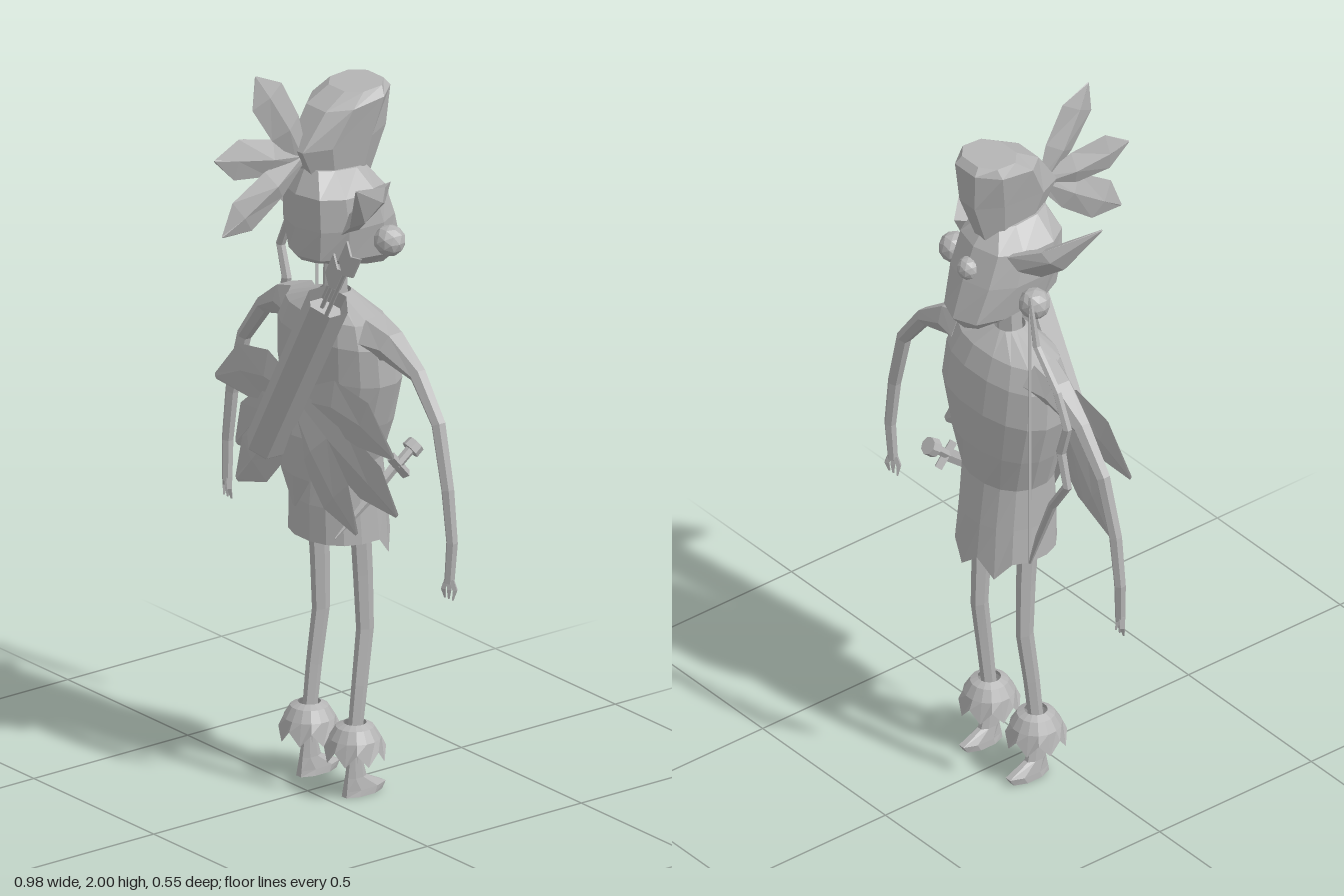
import * as THREE from 'three';

const clay = new THREE.MeshStandardMaterial({ color: 0xb4b4b4, flatShading: true, side: THREE.DoubleSide });
const V = (x, y, z) => new THREE.Vector3(x, y, z);

// Faceted skin through closed rings of points, optionally capped
function loft(rings, caps = true) {
  const n = rings[0].length, pos = [], idx = [];
  rings.flat().forEach(p => pos.push(p.x, p.y, p.z));
  for (let i = 0; i < rings.length - 1; i++) {
    for (let j = 0; j < n; j++) {
      const k = (j + 1) % n, a = i * n, b = a + n;
      idx.push(a + j, a + k, b + k, a + j, b + k, b + j);
    }
  }
  if (caps) {
    const top = (rings.length - 1) * n;
    for (let j = 1; j < n - 1; j++) idx.push(0, j + 1, j, top, top + j, top + j + 1);
  }
  const g = new THREE.BufferGeometry();
  g.setAttribute('position', new THREE.Float32BufferAttribute(pos, 3));
  g.setIndex(idx);
  const flat = g.toNonIndexed();
  flat.computeVertexNormals();
  return flat;
}

// Elliptical sections stacked upwards: [yBack, yFront, halfWidth, zBack, zFront]
function stack(rows, n, power = 1) {
  const soft = c => Math.sign(c) * Math.abs(c) ** power;
  return rows.map(([yb, yf, w, zb, zf]) => Array.from({ length: n }, (_, j) => {
    const a = ((j + 0.5) / n) * Math.PI * 2, s = -soft(Math.sin(a));
    const t = (1 - s) / 2;
    return V(w * soft(Math.cos(a)), yb + (yf - yb) * t, zb + (zf - zb) * t);
  }));
}

// Tapering limb or leaf: points along a path, [width, thickness] radii, width direction
function sweep(points, radii, side, n = 6) {
  const pts = points.map(p => V(...p));
  return loft(pts.map((p, i) => {
    const t = pts[Math.min(i + 1, pts.length - 1)].clone().sub(pts[Math.max(i - 1, 0)]).normalize();
    const u = V(...side);
    u.addScaledVector(t, -u.dot(t)).normalize();
    const v = t.clone().cross(u);
    const [w, h] = [].concat(radii[i], radii[i]);
    return Array.from({ length: n }, (_, j) => {
      const a = (j / n) * Math.PI * 2;
      return p.clone().addScaledVector(u, w * Math.cos(a)).addScaledVector(v, h * Math.sin(a));
    });
  }));
}

export function createModel() {
  const model = new THREE.Group();
  const add = (name, geometry, parent = model) => {
    const m = new THREE.Mesh(geometry, clay);
    m.name = name;
    parent.add(m);
    return m;
  };

  // Tunic with a ragged hem on the face side
  const body = stack([
    [0.70, 0.70, 0.135, 0.02, -0.225], [0.80, 0.80, 0.13, 0.02, -0.215],
    [0.92, 0.92, 0.13, 0.01, -0.2], [1.03, 1.03, 0.17, 0.01, -0.215],
    [1.15, 1.15, 0.205, 0.01, -0.22], [1.25, 1.25, 0.2, 0.01, -0.205],
    [1.31, 1.31, 0.17, -0.005, -0.18], [1.36, 1.36, 0.04, -0.05, -0.13],
  ], 16, 0.9);
  body[0].forEach((p, j) => { if (p.z < -0.14) p.y = j % 2 ? 0.65 : 0.7; });
  add('tunic', loft(body, false));
  add('neck', new THREE.CylinderGeometry(0.032, 0.036, 0.14, 6)).position.set(0, 1.385, -0.09);

  // Head, nose and crest of hair
  add('head', loft(stack([
    [1.465, 1.41, 0.05, 0.02, -0.24], [1.48, 1.455, 0.1, 0.035, -0.278],
    [1.56, 1.56, 0.12, 0.04, -0.245], [1.65, 1.65, 0.118, 0.04, -0.21],
    [1.715, 1.70, 0.06, 0.01, -0.17],
  ], 10, 0.8)));
  add('nose', new THREE.IcosahedronGeometry(0.032, 1)).position.set(0, 1.59, -0.225);
  add('hair', loft(stack([
    [1.66, 1.66, 0.045, -0.01, -0.19], [1.77, 1.79, 0.07, 0.05, -0.24],
    [1.87, 1.90, 0.092, -0.02, -0.245], [1.91, 1.92, 0.075, -0.09, -0.225],
  ], 8, 0.85)));

  // Three feathers fanning from the back of the hair
  [[-0.005, 2.0, 0.165], [-0.035, 1.785, 0.275], [-0.015, 1.58, 0.265]].forEach(([x, y, z]) => {
    const at = f => [x * f, 1.75 + (y - 1.75) * f, 0.02 + (z - 0.02) * f];
    add('headFeather', sweep([at(0), at(0.35), at(0.75), at(1)],
      [[0.02, 0.005], [0.05, 0.02], [0.055, 0.014], [0.003, 0.002]], [0, z - 0.02, 1.75 - y], 4));
  });

  for (const s of [-1, 1]) {
    const X = pts => pts.map(([x, y, z]) => [s * x, y, z]);

    // Pointed ear and round earring
    add('ear', sweep(X([[0.095, 1.6, -0.11], [0.16, 1.635, -0.07], [0.235, 1.725, 0.025]]),
      [[0.1, 0.03], [0.07, 0.025], [0.002, 0.002]], [0, 0.4, -0.6], 6));
    add('earring', new THREE.IcosahedronGeometry(0.042, 1)).position.set(s * 0.163, 1.53, -0.14);

    // Thin drooping arm with three fingers
    add('arm', sweep(X([[0.15, 1.27, -0.1], [0.22, 1.265, -0.105], [0.32, 1.215, -0.11], [0.405, 1.105, -0.11],
      [0.45, 0.94, -0.105], [0.468, 0.8, -0.105], [0.463, 0.69, -0.1]]),
      [0.065, 0.045, 0.024, 0.02, 0.018, 0.016, 0.014], [0, 0, 1]));
    [-1, 0, 1].forEach(f => add('finger', sweep(
      X([[0.463 + f * 0.008, 0.7, -0.1], [0.463 + f * 0.017, 0.672, -0.1 - f * 0.006], [0.461 + f * 0.016, 0.645, -0.1]]),
      [0.009, 0.008, 0.003], [0, 0, 1], 4)));

    // Leg and foot
    add('leg', sweep(X([[0.09, 0.76, -0.1], [0.09, 0.6, -0.11], [0.092, 0.45, -0.115], [0.095, 0.3, -0.095],
      [0.095, 0.17, -0.08], [0.095, 0.08, -0.078]]),
      [[0.022, 0.03], [0.021, 0.028], [0.019, 0.025], [0.017, 0.023], [0.016, 0.021], [0.014, 0.018]], [1, 0, 0]));
    const foot = stack([[0, 0, 0.026, -0.04, -0.165], [0.015, 0.02, 0.024, -0.042, -0.178],
      [0.05, 0.05, 0.018, -0.05, -0.115], [0.11, 0.11, 0.014, -0.06, -0.098]], 8);
    add('foot', loft(foot)).position.x = s * 0.095;

    // Frilled ankle cuff
    const cuff = stack([[0.135, 0.135, 0.08, 0, -0.16], [0.16, 0.16, 0.068, -0.012, -0.148],
      [0.19, 0.19, 0.05, -0.03, -0.13], [0.2, 0.2, 0.03, -0.05, -0.11]], 16);
    cuff[0].forEach((p, j) => { if (j % 2) p.y = 0.1; });
    add('ankleCuff', loft(cuff, false)).position.x = s * 0.095;

    // Broad leaves spreading across the back
    [
      [[0.0, 1.08, 0.02], [0.14, 1.105, 0.02], [0.25, 1.085, 0.015], [0.37, 1.03, 0.01]],
      [[0.0, 1.08, 0.03], [0.13, 1.01, 0.02], [0.25, 0.92, -0.01], [0.335, 0.85, -0.03]],
      [[0.0, 1.05, 0.035], [0.08, 0.97, 0.04], [0.17, 0.87, 0.04], [0.25, 0.79, 0.035]],
    ].forEach(path => add('backLeaf', sweep(X(path),
      [[0.03, 0.006], [0.07, 0.014], [0.07, 0.01], [0.008, 0.002]], [path[3][1] - 1.08, -path[3][0], 0].map((c, i) => i ? c : c * s), 4)
      .rotateY(0)));
  }
  add('middleLeaf', sweep([[0, 1.1, 0.03], [0, 0.99, 0.04], [0, 0.88, 0.04], [-0.01, 0.79, 0.035]],
    [[0.03, 0.006], [0.065, 0.012], [0.06, 0.01], [0.006, 0.002]], [1, 0, 0], 4));

  // Slanted six-sided quiver with two arrows
  const quiver = new THREE.Group();
  quiver.name = 'quiver';
  quiver.position.set(0.045, 1.18, 0.07);
  quiver.rotation.z = -0.51;
  model.add(quiver);
  add('quiverCase', new THREE.CylinderGeometry(0.058, 0.054, 0.54, 6, 1, true), quiver);
  add('quiverBase', new THREE.CylinderGeometry(0.054, 0.05, 0.012, 6), quiver).position.y = -0.27;
  add('quiverInside', new THREE.CylinderGeometry(0.055, 0.055, 0.01, 6), quiver).position.y = 0.22;
  const vane = new THREE.Shape([[0, -0.045], [0.033, -0.02], [0.033, 0.05], [0, 0.025], [-0.033, 0.05], [-0.033, -0.02]]
    .map(p => new THREE.Vector2(...p)));
  [[0.02, 0.44, 0.01], [-0.02, 0.345, -0.01]].forEach(([x, y, z]) => {
    add('arrowShaft', new THREE.CylinderGeometry(0.006, 0.006, y - 0.2, 5), quiver).position.set(x, (y + 0.2) / 2, z);
    add('arrowVane', new THREE.ExtrudeGeometry(vane, { depth: 0.006, bevelEnabled: false }), quiver).position.set(x, y, z);
  });

  // Wavy bow with a straight string
  const bowPath = [[-0.268, 1.65], [-0.295, 1.51], [-0.38, 1.41], [-0.42, 1.32], [-0.395, 1.235],
    [-0.42, 1.14], [-0.36, 1.05], [-0.305, 0.92], [-0.268, 0.82]].map(([x, y]) => [x, y, -0.24]);
  add('bow', sweep(bowPath, [0.005, 0.011, 0.012, 0.013, 0.014, 0.013, 0.012, 0.01, 0.004], [0, 0, 1], 6));
  add('bowString', new THREE.BoxGeometry(0.002, 0.83, 0.008)).position.set(-0.268, 1.235, -0.24);

  // Dagger tucked at the hip
  add('daggerBlade', sweep([[0.15, 0.905, -0.175], [0.15, 0.83, -0.085], [0.14, 0.74, 0.02]],
    [[0.018, 0.006], [0.016, 0.005], [0.002, 0.001]], [0, 1, 1], 4));
  add('daggerGuard', sweep([[0.155, 0.87, -0.2], [0.155, 0.93, -0.15]], [0.014, 0.014], [1, 0, 0], 4));
  add('daggerGrip', sweep([[0.153, 0.9, -0.17], [0.158, 0.94, -0.215]], [0.013, 0.013], [1, 0, 0]));
  add('daggerPommel', sweep([[0.158, 0.935, -0.21], [0.16, 0.95, -0.23]], [0.026, 0.024], [1, 0, 0], 8));

  return model;
}
